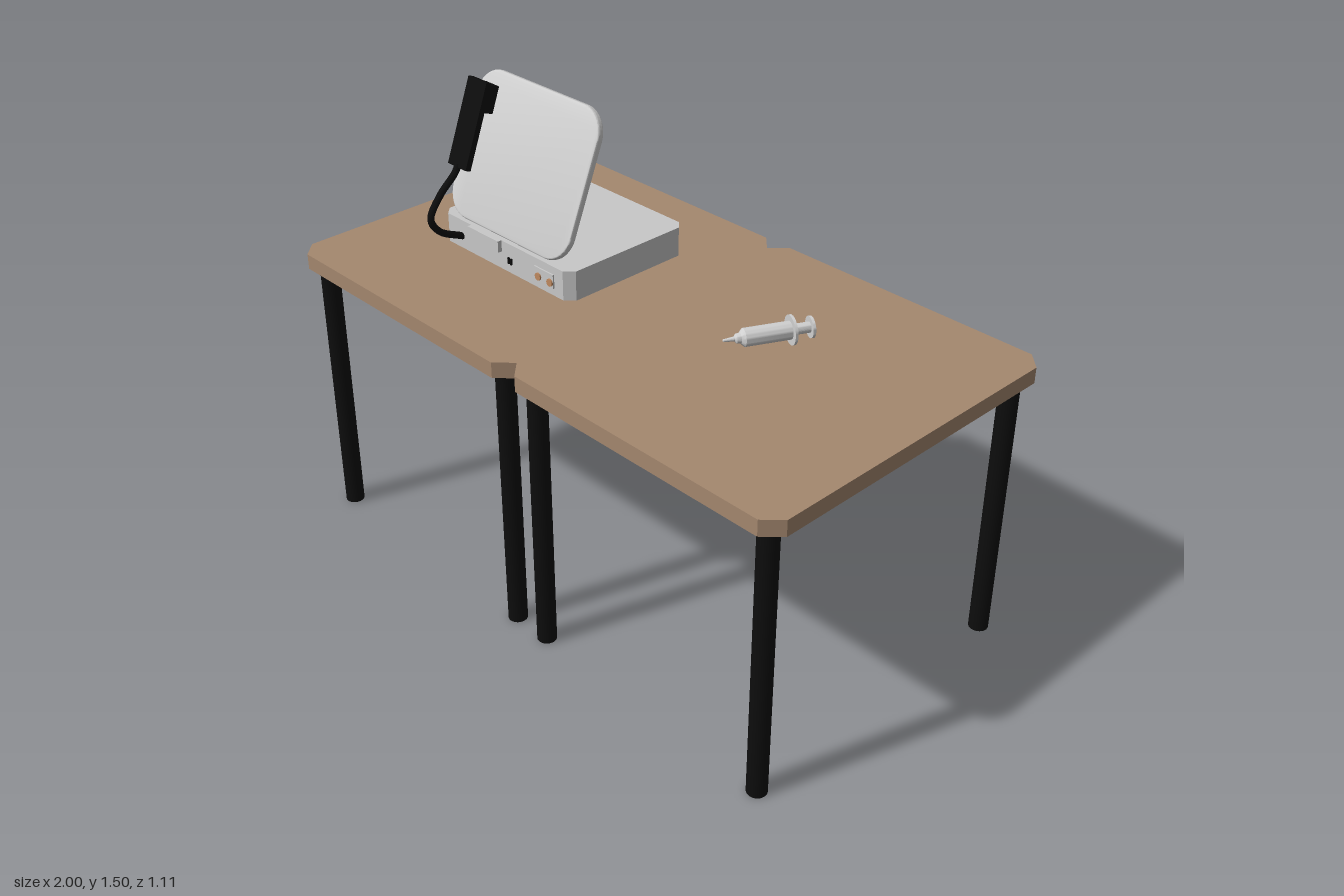
import * as THREE from 'three';
import { toCreasedNormals } from 'three/addons/utils/BufferGeometryUtils.js';

const mat = (name, color) => {
  const m = new THREE.MeshStandardMaterial({ color });
  m.name = name;
  return m;
};

// Rectangle outline with chamfered corners
function chamferRect(w, h, c) {
  const x = w / 2, y = h / 2;
  return new THREE.Shape([
    [-x + c, -y], [x - c, -y], [x, -y + c], [x, y - c],
    [x - c, y], [-x + c, y], [-x, y - c], [-x, -y + c],
  ].map(([a, b]) => new THREE.Vector2(a, b)));
}

// Rectangle outline with rounded corners
function roundRect(w, h, r) {
  const x = w / 2 - r, y = h / 2 - r, s = new THREE.Shape();
  s.absarc(x, y, r, 0, Math.PI / 2);
  s.absarc(-x, y, r, Math.PI / 2, Math.PI);
  s.absarc(-x, -y, r, Math.PI, Math.PI * 1.5);
  s.absarc(x, -y, r, Math.PI * 1.5, Math.PI * 2);
  s.closePath();
  return s;
}

// Horizontal slab rising from y = 0
function slab(shape, height) {
  return new THREE.ExtrudeGeometry(shape, { depth: height, bevelEnabled: false }).rotateX(-Math.PI / 2);
}

export function createModel() {
  const wood = mat('wood', 0xa5886f);
  const black = mat('black', 0x0d0d0d);
  const casing = mat('casing grey', 0xc8c8c8);
  const pale = mat('pale grey', 0xd0d0d0);
  const copper = mat('copper', 0xc08a60);

  const model = new THREE.Group();
  model.name = 'deskWithDevice';
  const add = (parent, name, geo, material, x = 0, y = 0, z = 0) => {
    const m = new THREE.Mesh(geo, material);
    m.name = name;
    m.position.set(x, y, z);
    parent.add(m);
    return m;
  };

  // Two identical tables side by side
  const topGeo = slab(chamferRect(1, 1.11, 0.05), 0.05);
  const legGeo = new THREE.CylinderGeometry(0.03, 0.03, 0.89, 24);
  for (const side of [-1, 1]) {
    const table = new THREE.Group();
    table.name = side < 0 ? 'rightTable' : 'leftTable';
    table.position.x = side * 0.5;
    add(table, 'tableTop', topGeo, wood, 0, 0.89, 0);
    for (const x of [-0.432, 0.432])
      for (const z of [-0.493, 0.493]) add(table, 'tableLeg', legGeo, black, x, 0.445, z);
    model.add(table);
  }

  // Device base, post and ports
  const device = new THREE.Group();
  device.name = 'device';
  model.add(device);
  add(device, 'deviceBase', slab(chamferRect(0.59, 0.47, 0.027), 0.095), casing, -0.42, 0.96, -0.033);
  add(device, 'post', new THREE.CylinderGeometry(0.026, 0.026, 0.36, 32), casing, -0.418, 1.235, 0.034);
  add(device, 'frontDrawer', new THREE.BoxGeometry(0.145, 0.037, 0.016), casing, -0.502, 1.0365, 0.208);
  add(device, 'socketPlate', new THREE.BoxGeometry(0.085, 0.045, 0.006), casing, -0.233, 1.007, 0.204);
  const socketGeo = new THREE.CylinderGeometry(0.012, 0.012, 0.008, 20).rotateX(Math.PI / 2);
  for (const x of [-0.255, -0.203]) add(device, 'socket', socketGeo, copper, x, 1.002, 0.208);
  const portGeo = new THREE.BoxGeometry(0.006, 0.02, 0.006);
  for (const x of [-0.396, -0.384]) add(device, 'port', portGeo, black, x, 1.0, 0.204);

  // Tilted screen with soft edges
  const bevel = 0.008;
  const screenGeo = toCreasedNormals(new THREE.ExtrudeGeometry(roundRect(0.545 - 2 * bevel, 0.462 - 2 * bevel, 0.08), {
    depth: 0.008, bevelEnabled: true, bevelSize: bevel, bevelThickness: bevel, bevelSegments: 4, curveSegments: 12,
  }).translate(0, 0, -0.004), 0.7);
  add(device, 'screen', screenGeo, pale, -0.417, 1.28, 0.11).rotation.x = -0.385;

  // Handheld probe clipped in front of the screen
  const probe = new THREE.Group();
  probe.name = 'probe';
  probe.position.set(-0.618, 1.357, 0.152);
  probe.rotation.x = -0.365;
  add(probe, 'probeHandle', new THREE.BoxGeometry(0.085, 0.27, 0.02), black);
  add(probe, 'probeClip', new THREE.BoxGeometry(0.06, 0.085, 0.05), black, 0, 0.085, -0.028);
  device.add(probe);

  // Cable looping down to the base
  const path = new THREE.CatmullRomCurve3([
    [1.24, 0.2], [1.215, 0.215], [1.16, 0.275], [1.095, 0.315], [1.045, 0.287], [1.0, 0.2],
  ].map(([y, z]) => new THREE.Vector3(-0.622, y, z)));
  add(device, 'cable', new THREE.TubeGeometry(path, 40, 0.011, 10), black);

  // Syringe lying on the left table, turned on its side from one profile
  const profile = [
    [0, 0], [0.004, 0.002], [0.007, 0.035], [0.014, 0.04], [0.016, 0.052], [0.027, 0.062],
    [0.027, 0.2], [0.044, 0.2], [0.044, 0.208], [0.016, 0.208], [0.016, 0.258],
    [0.032, 0.258], [0.032, 0.266], [0, 0.266],
  ].map(([r, l]) => new THREE.Vector2(r, l));
  const syringeGeo = toCreasedNormals(new THREE.LatheGeometry(profile, 28), 0.5).rotateX(-Math.PI / 2);
  add(model, 'syringe', syringeGeo, pale, 0.358, 0.984, 0.066).rotation.y = -0.46;

  return model;
}
